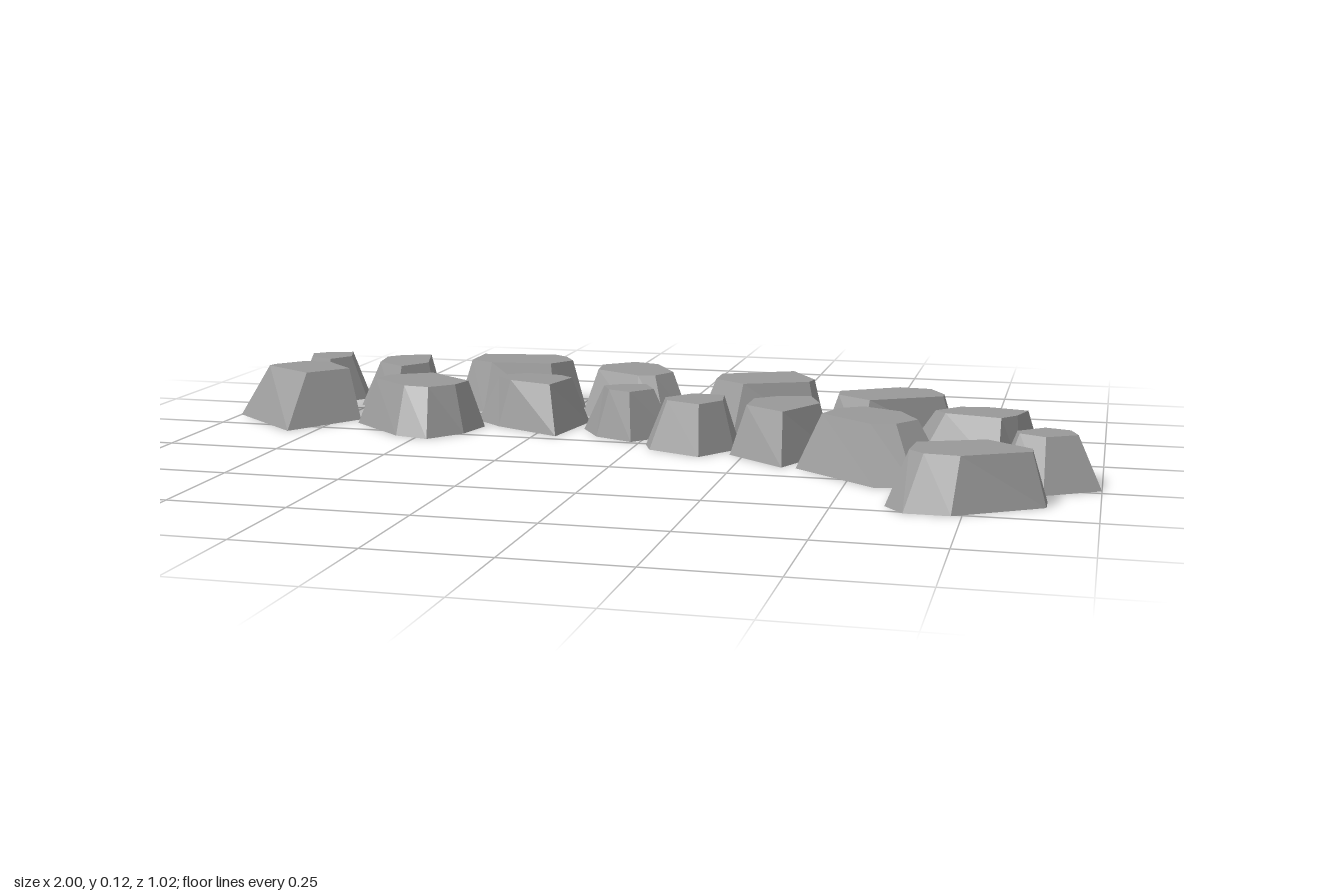
import * as THREE from 'three';

const stoneGrey = new THREE.MeshStandardMaterial({ color: 0x999999, side: THREE.DoubleSide, flatShading: true });
stoneGrey.name = 'stone grey';

// Stretch values linearly so they span lo..hi
function fit(values, lo, hi) {
  const a = Math.min(...values), b = Math.max(...values);
  return values.map(v => lo + (hi - lo) * (v - a) / (b - a));
}

// Top rim: the ground outline with its sharp corners softened, fitted into the rim box
function topRim(outline, [x0, x1, z0, z1]) {
  const n = outline.length;
  const cx = outline.reduce((s, p) => s + p[0], 0) / n;
  const cz = outline.reduce((s, p) => s + p[1], 0) / n;
  const radii = outline.map(p => Math.hypot(p[0] - cx, p[1] - cz));
  const mean = radii.reduce((s, r) => s + r, 0) / n;
  const soft = outline.map((p, i) => {
    const k = 0.7 + 0.3 * mean / radii[i];
    return [(p[0] - cx) * k, (p[1] - cz) * k];
  });
  const xs = fit(soft.map(p => p[0]), x0, x1);
  const zs = fit(soft.map(p => p[1]), z0, z1);
  return xs.map((x, i) => [x, zs[i]]);
}

// A faceted stone, open underneath: ground outline lofted to a flat top (hundredths of a unit)
function stone(name, outline, rimBox, height = 0.105) {
  const rim = topRim(outline, rimBox), n = outline.length;
  const low = outline.map(([x, z]) => new THREE.Vector3(x / 100, 0, z / 100));
  const high = rim.map(([x, z]) => new THREE.Vector3(x / 100, height, z / 100));
  const centre = new THREE.Vector3();
  high.forEach(p => centre.addScaledVector(p, 1 / n));
  const points = [];
  for (let i = 0; i < n; i++) {
    const j = (i + 1) % n;
    points.push(low[i], high[i], high[j], low[i], high[j], low[j]); // side
    points.push(centre, high[j], high[i]); // top
  }
  const geometry = new THREE.BufferGeometry().setFromPoints(points);
  geometry.computeVertexNormals();
  const mesh = new THREE.Mesh(geometry, stoneGrey);
  mesh.name = name;
  return mesh;
}

export function createModel() {
  const group = new THREE.Group();
  group.name = 'stonePath';
  const tall = 0.115;

  // Back row, running from right to left
  group.add(
    stone('backStone1', [[-99, -40], [-93, -44], [-83, -48], [-79, -37], [-85, -28], [-95, -32]], [-94, -83, -44, -32]),
    stone('backStone2', [[-64, -50], [-58, -31], [-65, -20], [-77, -29], [-79, -40], [-75, -44]], [-74, -61, -45, -26]),
    stone('backStone3', [[-53, -47], [-31, -51], [-27, -47], [-23, -39], [-28, -30], [-45, -27], [-53, -31]], [-50, -26, -46, -31], tall),
    stone('backStone4', [[-13, -49], [-4, -45], [5, -30], [1, -21], [-5, -20], [-21, -29], [-23, -40]], [-19, 0, -46, -27]),
    stone('backStone5', [[30, -41], [38, -25], [37, -20], [19, -11], [9, -18], [9, -29]], [13, 35, -36, -16], tall),
    stone('backStone6', [[55, -31], [64, -31], [68, -21], [68, -17], [49, -2], [39, -11], [39, -19]], [42, 65, -26, -8]),
    stone('backStone7', [[87, -7], [83, 4], [79, 11], [62, 6], [58, 1], [66, -8], [74, -9]], [65, 84, -6, 6]),
    stone('backStone8', [[79, 20], [88, 11], [97, 14], [100, 23], [89, 30], [80, 25]], [83, 95, 14, 24]),
  );

  // Front row
  group.add(
    stone('frontStone1', [[-92, -25], [-83, -25], [-70, -11], [-81, 6], [-100, -10], [-99, -14]], [-94, -74, -22, -6], tall),
    stone('frontStone2', [[-55, -25], [-39, -10], [-41, -1], [-47, 7], [-55, 5], [-69, -7], [-67, -16]], [-65, -43, -19, 0]),
    stone('frontStone3', [[-35, -26], [-23, -25], [-17, -21], [-20, -3], [-36, -11], [-43, -17], [-41, -22]], [-38, -21, -24, -10]),
    stone('frontStone4', [[-16, -13], [-9, -17], [0, -20], [6, -10], [-2, -1], [-11, -5]], [-11, 1, -16, -5]),
    stone('frontStone5', [[2, 1], [10, -8], [21, -8], [22, 2], [16, 11], [4, 6]], [6, 19, -7, 6]),
    stone('frontStone6', [[39, -13], [43, -1], [35, 17], [22, 7], [23, -4], [29, -9]], [25, 40, -10, 10]),
    stone('frontStone7', [[50, 1], [62, 8], [70, 20], [64, 29], [56, 31], [38, 17], [42, 6]], [43, 63, 5, 24], tall),
    stone('frontStone8', [[78, 23], [90, 35], [90, 40], [73, 51], [64, 51], [60, 46], [61, 33]], [64, 87, 29, 46]),
  );
  return group;
}
